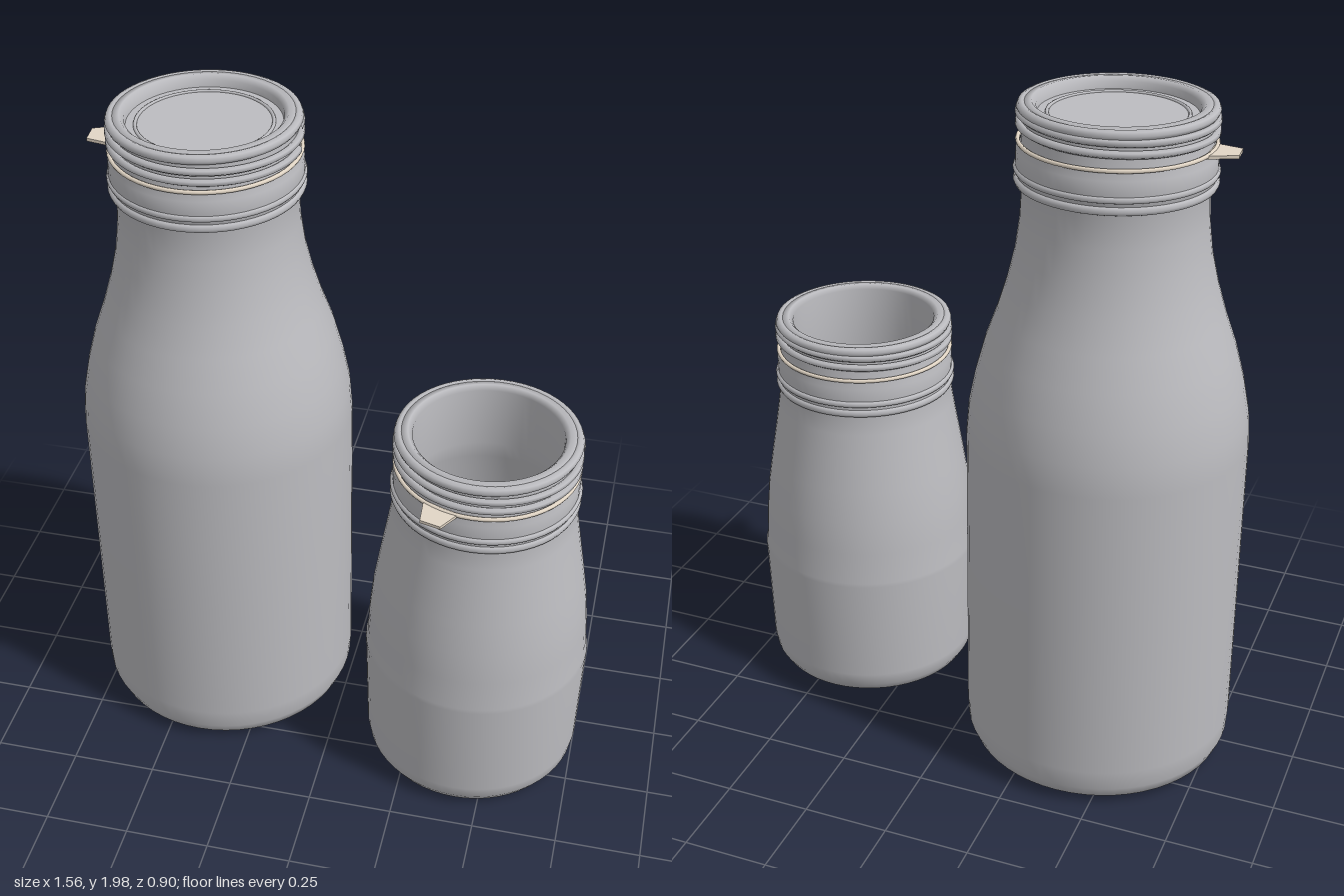
import * as THREE from 'three';

const glass = new THREE.MeshStandardMaterial({ color: 0xbcbcc0 });
glass.name = 'grey glass';
const red = new THREE.MeshStandardMaterial({ color: 0x66382f });
red.name = 'brown red base';
const cream = new THREE.MeshStandardMaterial({ color: 0xe2d6c6 });
cream.name = 'cream seal';

function add(group, name, geometry, material) {
  const mesh = new THREE.Mesh(geometry, material);
  mesh.name = name;
  group.add(mesh);
  return mesh;
}

// Profile runs from the base centre up the outside as [radius, height] pairs
function lathe(points) {
  return new THREE.LatheGeometry(points.map(([r, y]) => new THREE.Vector2(r, y)), 56);
}

function ring(group, name, radius, tube, y, material) {
  const mesh = add(group, name, new THREE.TorusGeometry(radius, tube, 8, 56), material);
  mesh.rotation.x = Math.PI / 2;
  mesh.position.y = y;
}

// Flat disc or annulus facing up (or down)
function disc(group, name, inner, outer, y, material, up = true) {
  const geometry = inner > 0 ? new THREE.RingGeometry(inner, outer, 48) : new THREE.CircleGeometry(outer, 48);
  const mesh = add(group, name, geometry, material);
  mesh.rotation.x = up ? -Math.PI / 2 : Math.PI / 2;
  mesh.position.y = y;
}

// Threaded finish shared by both bottles; top is the height of the rim
function addNeck(group, top, tabAngle) {
  ring(group, 'lowerCollar', 0.258, 0.013, top - 0.21, glass);
  ring(group, 'upperCollar', 0.262, 0.01, top - 0.18, glass);
  ring(group, 'sealBand', 0.26, 0.006, top - 0.105, cream);
  const turns = 2;
  const path = [];
  for (let i = 0; i <= 48 * turns; i++) {
    const a = (i / 48) * Math.PI * 2;
    path.push(new THREE.Vector3(Math.cos(a) * 0.257, top - 0.085 + 0.06 * i / (48 * turns), Math.sin(a) * 0.257));
  }
  add(group, 'screwThread', new THREE.TubeGeometry(new THREE.CatmullRomCurve3(path), 140, 0.011, 6), glass);
  ring(group, 'rimBead', 0.25, 0.014, top - 0.016, glass);

  // Small pull tab on the seal
  const shape = new THREE.Shape([[0.25, -0.06], [0.33, -0.025], [0.325, 0.035], [0.25, 0.05]]
    .map(([x, y]) => new THREE.Vector2(x, y)));
  const tab = new THREE.ExtrudeGeometry(shape, { depth: 0.009, bevelEnabled: false });
  tab.rotateX(-Math.PI / 2);
  tab.rotateY(tabAngle);
  add(group, 'pullTab', tab, cream).position.y = top - 0.112;
}

function createTallBottle() {
  const group = new THREE.Group();
  group.name = 'tallBottle';
  add(group, 'tallBody', lathe([
    [0, 0.025], [0.3, 0.02], [0.345, 0.024], [0.378, 0.045], [0.393, 0.08], [0.397, 0.14],
    [0.397, 0.6], [0.397, 1.04], [0.39, 1.13], [0.372, 1.22], [0.345, 1.32], [0.313, 1.41],
    [0.286, 1.5], [0.265, 1.59], [0.253, 1.68], [0.249, 1.77], [0.262, 1.8], [0.266, 1.83],
    [0.265, 1.87], [0.252, 1.89], [0.25, 1.97], [0.245, 1.995], [0.225, 1.998], [0.213, 1.985], [0.21, 1.96],
  ]), glass);
  disc(group, 'capDisc', 0, 0.212, 1.965, glass);
  ring(group, 'capRidge', 0.185, 0.005, 1.965, glass);
  addNeck(group, 2, Math.PI);
  return group;
}

function createSmallBottle() {
  const group = new THREE.Group();
  group.name = 'smallBottle';
  // Outer wall, rim and hollow inside in one profile
  add(group, 'smallBody', lathe([
    [0, 0.03], [0.19, 0.03], [0.2, 0.02], [0.265, 0.02], [0.3, 0.032], [0.318, 0.06], [0.325, 0.1],
    [0.334, 0.43], [0.329, 0.44], [0.324, 0.54], [0.314, 0.64], [0.298, 0.74], [0.281, 0.84],
    [0.268, 0.92], [0.261, 0.97], [0.264, 1.02], [0.265, 1.07], [0.252, 1.09], [0.25, 1.17],
    [0.245, 1.195], [0.225, 1.198], [0.212, 1.185], [0.21, 1.0], [0.225, 0.94], [0.265, 0.74],
    [0.295, 0.5], [0.295, 0.12], [0.26, 0.06], [0, 0.055],
  ]), glass);
  disc(group, 'innerBase', 0, 0.195, 0.063, red);
  disc(group, 'innerBaseRing', 0.13, 0.152, 0.068, glass);
  disc(group, 'outerBase', 0, 0.165, 0.024, red, false);
  addNeck(group, 1.2, -Math.PI * 0.61);
  return group;
}

export function createModel() {
  const model = new THREE.Group();
  model.name = 'bottlePair';
  const tall = createTallBottle();
  tall.position.set(-0.4, 0, -0.055);
  const small = createSmallBottle();
  small.position.set(0.43, 0, 0.11);
  model.add(tall, small);
  return model;
}
